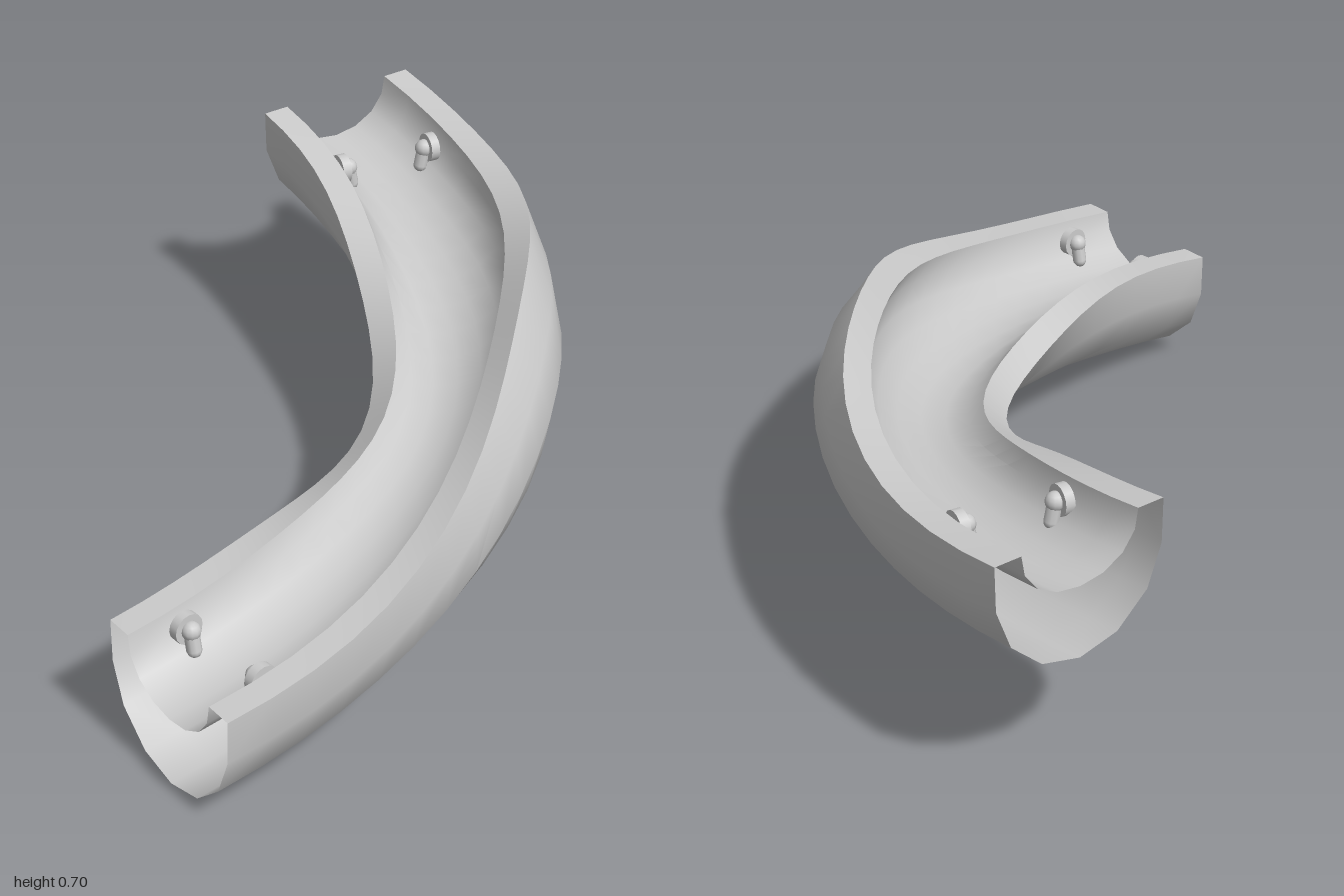
import * as THREE from 'three';
import { toCreasedNormals } from 'three/addons/utils/BufferGeometryUtils.js';

const RAD = Math.PI / 180;

// Half of the outer wall and of the channel, from the bottom centre up: [across, height]
const R = 0.255;
const wall = [0, 27, 55, 82].map(a => [R * Math.sin(a * RAD), -R * Math.cos(a * RAD)]);
wall.push([0.256, 0.085]);
const channel = [[0, -0.06], [0.07, -0.05], [0.13, -0.018], [0.167, 0.03], [0.177, 0.085]];

// Full closed cross-section: down the outer wall, up the inner side, back through the channel
const flip = ([u, v]) => [-u, v];
const section = [
  ...[...wall].reverse(),
  ...wall.slice(1).map(flip),
  ...[...channel].reverse().map(flip),
  ...channel.slice(1),
  wall[wall.length - 1],
];

// Point of the climbing, banked quarter turn at an angle, for a section offset (u, v)
function place(angle, u, v) {
  const bell = Math.pow(Math.max(0, Math.sin(2 * angle)), 3);
  const bank = 40 * RAD * bell;
  const r = 1.74 + 0.035 * bell + u * Math.cos(bank) - v * Math.sin(bank);
  const y = 0.255 + 0.345 * angle / (Math.PI / 2) + 0.03 * bell + u * Math.sin(bank) + v * Math.cos(bank);
  return new THREE.Vector3(-1 + r * Math.sin(angle), y, -1 + r * Math.cos(angle));
}

function chuteGeometry(steps = 24) {
  const pos = [], index = [], n = section.length;
  for (let i = 0; i <= steps; i++) {
    for (const [u, v] of section) pos.push(...place(i / steps * Math.PI / 2, u, v).toArray());
  }
  for (let i = 0; i < steps; i++) {
    for (let j = 0; j < n - 1; j++) {
      const a = i * n + j, b = a + 1, c = a + n, d = c + 1;
      index.push(a, b, c, b, d, c);
    }
  }
  const g = new THREE.BufferGeometry();
  g.setAttribute('position', new THREE.Float32BufferAttribute(pos, 3));
  g.setIndex(index);
  return toCreasedNormals(g, 40 * RAD);
}

export function createModel() {
  const model = new THREE.Group();
  model.name = 'curvedChute';
  const material = new THREE.MeshStandardMaterial({ color: 0xcccccc });
  const shellMaterial = new THREE.MeshStandardMaterial({ color: 0xcccccc, side: THREE.DoubleSide });

  const add = (parent, name, geometry, mat = material) => {
    const mesh = new THREE.Mesh(geometry, mat);
    mesh.name = name;
    parent.add(mesh);
    return mesh;
  };

  // Hollow trough, open at both ends
  add(model, 'chute', chuteGeometry(), shellMaterial);

  // Small pegs on both channel walls near each end: flange, knob and drooping stem
  const flange = new THREE.CylinderGeometry(0.042, 0.042, 0.026, 16).rotateX(Math.PI / 2);
  const knob = new THREE.SphereGeometry(0.026, 12, 8);
  const stem = new THREE.CapsuleGeometry(0.02, 0.045, 4, 10);
  for (const angle of [5.6 * RAD, 80.2 * RAD]) {
    for (const side of [-1, 1]) {
      const peg = new THREE.Group();
      peg.name = side < 0 ? 'innerPeg' : 'outerPeg';
      peg.position.copy(place(angle, side < 0 ? -0.15 : 0.135, 0.035));
      peg.rotation.y = side < 0 ? angle : angle + Math.PI;
      add(peg, 'flange', flange);
      add(peg, 'knob', knob).position.z = 0.02;
      const s = add(peg, 'stem', stem);
      s.position.set(0, -0.03, 0.026);
      s.rotation.x = -0.2;
      model.add(peg);
    }
  }
  return model;
}
